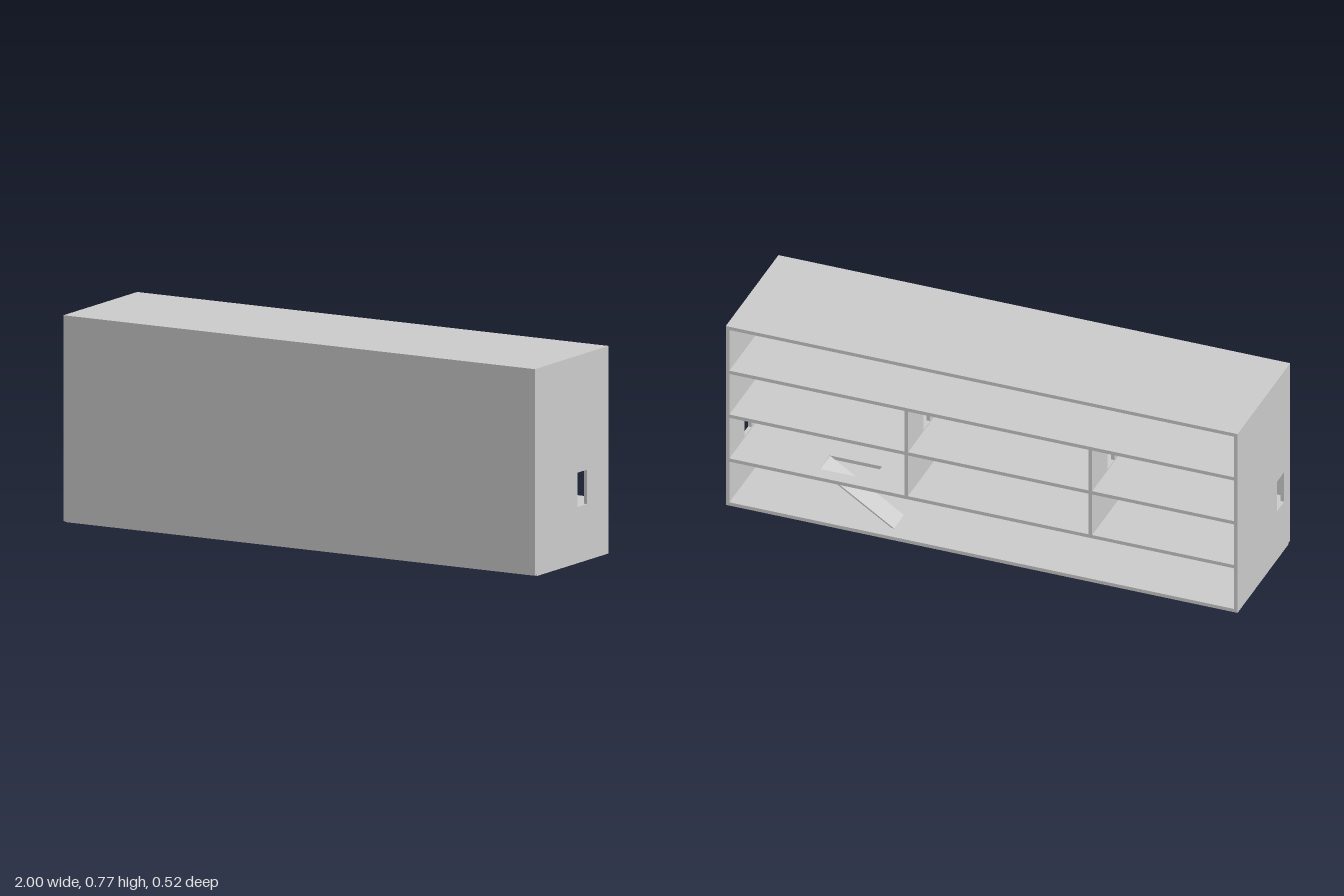
import * as THREE from 'three';

export function createModel() {
  const model = new THREE.Group();
  const material = new THREE.MeshStandardMaterial({ color: 0xcccccc, flatShading: true });

  const BACK = -0.26, FRONT = 0.26, INNER = 0.245; // depth limits, front wall is INNER..FRONT
  const H = 0.768, T = 0.014, PITCH = (H - T) / 4;
  const floorTop = (i) => T + i * PITCH;

  function add(name, geometry) {
    const mesh = new THREE.Mesh(geometry, material);
    mesh.name = name;
    model.add(mesh);
    return mesh;
  }

  function rect(Type, a0, a1, b0, b1) {
    const r = new Type();
    r.moveTo(a0, b0);
    r.lineTo(a1, b0);
    r.lineTo(a1, b1);
    r.lineTo(a0, b1);
    r.closePath();
    return r;
  }

  // Upright panel across the depth; door = [z0, z1, y0, y1]
  function crossWall(name, x, y0, y1, door) {
    const shape = rect(THREE.Shape, BACK, INNER, y0, y1);
    if (door) shape.holes.push(rect(THREE.Path, ...door));
    const geometry = new THREE.ExtrudeGeometry(shape, { depth: T, bevelEnabled: false });
    geometry.rotateY(-Math.PI / 2).translate(x + T / 2, 0, 0);
    add(name, geometry);
  }

  // Horizontal slab with its top at the given height; hole = [x0, x1, z0, z1]
  function slab(name, halfWidth, top, hole) {
    const shape = rect(THREE.Shape, -halfWidth, halfWidth, BACK, INNER);
    if (hole) shape.holes.push(rect(THREE.Path, ...hole));
    const geometry = new THREE.ExtrudeGeometry(shape, { depth: T, bevelEnabled: false });
    geometry.rotateX(Math.PI / 2).translate(0, top, 0);
    add(name, geometry);
  }

  // Floors and roof, with a stair opening in the first upper floor
  for (let i = 0; i < 4; i++) {
    slab('floor' + i, 1 - T, floorTop(i), i === 1 ? [0.45, 0.655, -0.205, -0.107] : null);
  }
  slab('roof', 1, H);

  // Closed front wall; the back stays open
  add('frontWall', new THREE.BoxGeometry(2, H - 0.006, FRONT - INNER))
    .position.set(0, (H + 0.006) / 2, (FRONT + INNER) / 2);

  // End walls with doorways on the first upper floor
  crossWall('leftWall', 1 - T / 2, 0, H - T, [-0.108, -0.04, 0.208, 0.335]);
  crossWall('rightWall', -1 + T / 2, 0, H - T, [0.13, 0.2, 0.208, 0.335]);

  // Two partitions on each of the two middle storeys, doorways on the higher one
  for (const x of [0.295, -0.425]) {
    for (const level of [1, 2]) {
      const y = floorTop(level);
      const door = level === 2 ? [-0.108, -0.04, y + 0.005, y + 0.132] : null;
      crossWall('partition', x, y, y + PITCH - T, door);
    }
  }

  // Sloping stair ramp from the ground floor to the opening
  const dx = 0.29, dy = PITCH;
  const ramp = add('stairRamp', new THREE.BoxGeometry(Math.hypot(dx, dy), 0.006, 0.098));
  ramp.position.set(0.365 + dx / 2, T + dy / 2 - 0.003, -0.156);
  ramp.rotation.z = Math.atan2(dy, dx);

  return model;
}
